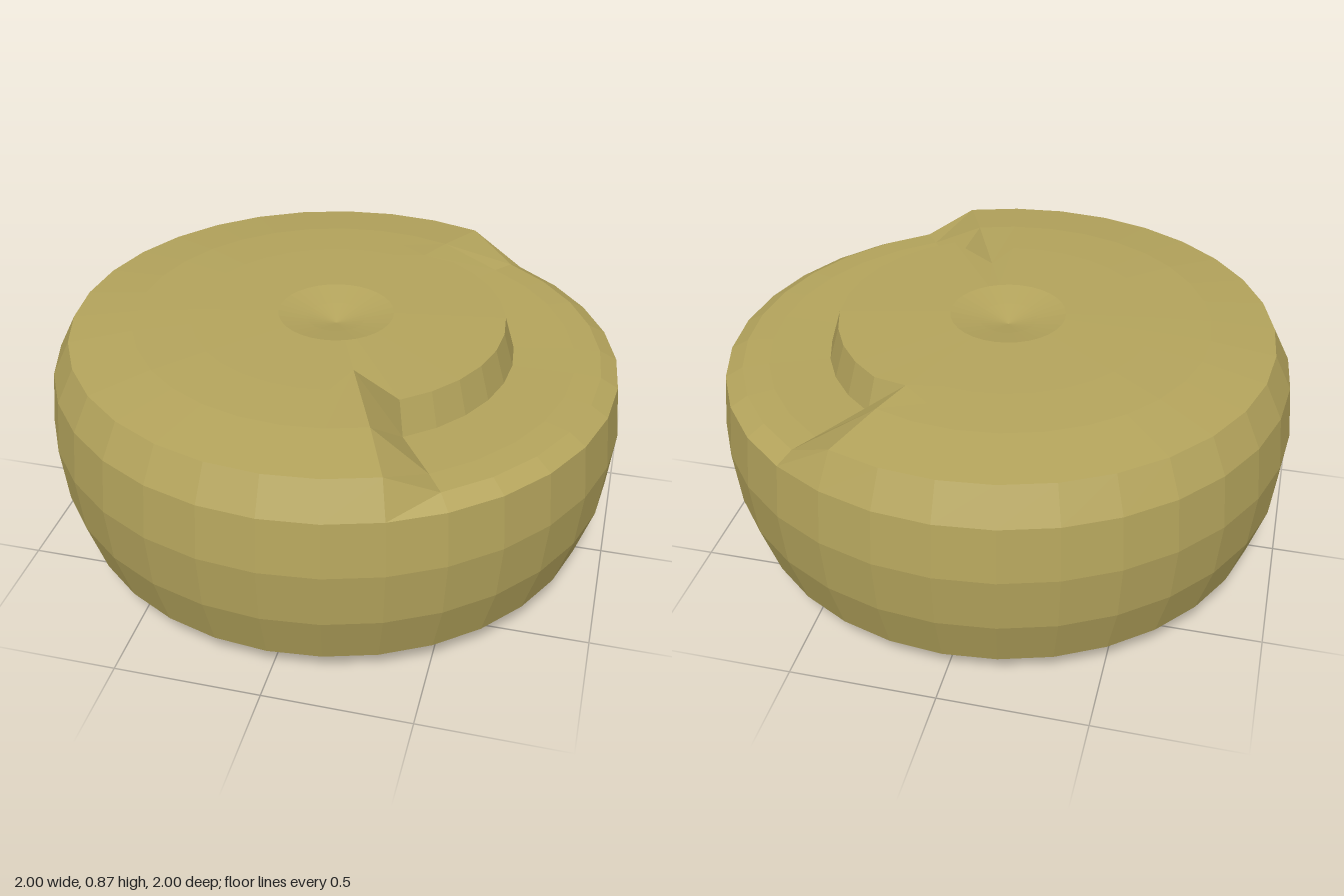
import * as THREE from 'three';

const SEGMENTS = 32;
const NOTCH = 5; // the lowered ledge spans this many segments either side of +x

// Cross-sections as [radius, height], from the top centre round to the bottom centre
const dimple = [[0, 0.82], [0.1, 0.844], [0.2, 0.865]];
const fullTop = [[0.5, 0.858], [0.6, 0.853], [0.7, 0.848], [0.92, 0.82], [0.98, 0.7]];
const ledgeTop = [[0.585, 0.856], [0.62, 0.738], [0.83, 0.739], [0.92, 0.733], [0.98, 0.7]];
const side = [[1, 0.51], [0.98, 0.31], [0.92, 0.12]];
const base = [[0.83, 0.096], [0.7, 0.073], [0.55, 0.056], [0.36, 0.038], [0.2, 0.023], [0, 0]];

function crossSection(i) {
  const k = i > SEGMENTS / 2 ? i - SEGMENTS : i; // signed step from +x
  let top = fullTop;
  if (Math.abs(k) <= NOTCH) top = ledgeTop;
  else if (Math.abs(k) === NOTCH + 1) {
    // the step closes to a point at each end of the ledge
    const r = k > 0 ? 0.38 : 0.555;
    top = [[r, 0.858], [r, 0.858], ...fullTop.slice(2)];
  }
  const bottom = base.map((p) => [...p]);
  if (k === 0) bottom[0][1] = 0.055; // small nib under the ledge
  return [...dimple, ...top, ...side, ...bottom];
}

function bodyGeometry() {
  const columns = [];
  for (let i = 0; i < SEGMENTS; i++) {
    const a = (i / SEGMENTS) * Math.PI * 2;
    columns.push(crossSection(i).map(([r, y]) => new THREE.Vector3(r * Math.cos(a), y, r * Math.sin(a))));
  }
  const positions = [];
  const triangle = (a, b, c) => {
    const area = b.clone().sub(a).cross(c.clone().sub(a)).length();
    if (area > 1e-7) for (const p of [a, b, c]) positions.push(p.x, p.y, p.z);
  };
  for (let i = 0; i < SEGMENTS; i++) {
    const p = columns[i], q = columns[(i + 1) % SEGMENTS];
    for (let j = 0; j < p.length - 1; j++) {
      triangle(p[j], q[j], q[j + 1]);
      triangle(p[j], q[j + 1], p[j + 1]);
    }
  }
  const geometry = new THREE.BufferGeometry();
  geometry.setAttribute('position', new THREE.Float32BufferAttribute(positions, 3));
  geometry.computeVertexNormals();
  return geometry;
}

export function createModel() {
  const olive = new THREE.MeshStandardMaterial({ color: 0xb4a45c, flatShading: true });
  olive.name = 'olive';
  const body = new THREE.Mesh(bodyGeometry(), olive);
  body.name = 'notchedRoundBody';
  const model = new THREE.Group();
  model.name = 'notchedDisc';
  model.add(body);
  return model;
}
